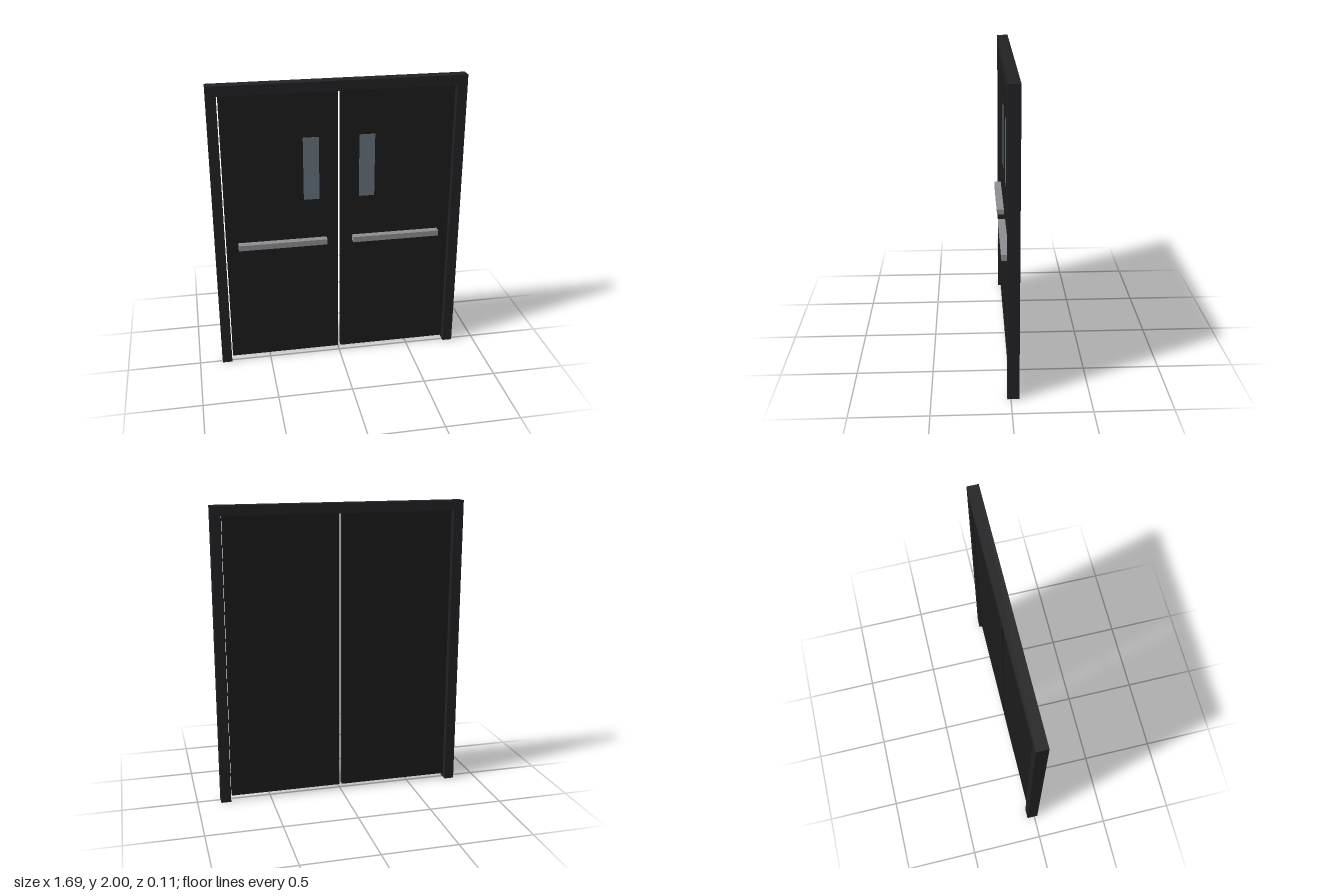
import * as THREE from 'three';

const paint = (color) => new THREE.MeshStandardMaterial({ color });

// Box given by its lower and upper limits on each axis
function block(name, material, [x0, x1], [y0, y1], [z0, z1]) {
  const mesh = new THREE.Mesh(new THREE.BoxGeometry(x1 - x0, y1 - y0, z1 - z0), material);
  mesh.name = name;
  mesh.position.set((x0 + x1) / 2, (y0 + y1) / 2, (z0 + z1) / 2);
  return mesh;
}

export function createModel() {
  const group = new THREE.Group();
  group.name = 'doubleDoor';
  const framePaint = paint(0x232325);
  const doorPaint = paint(0x1c1c1c);
  const glassPaint = paint(0x66757d);
  const barPaint = paint(0x909094);

  // Door frame: two jambs and a header in one piece, open at the floor
  const w = 0.843, inner = 0.776, header = 1.934, back = -0.053, front = 0.023;
  const outline = new THREE.Shape([
    [-w, 0], [-inner, 0], [-inner, header], [inner, header],
    [inner, 0], [w, 0], [w, 2], [-w, 2],
  ].map(([x, y]) => new THREE.Vector2(x, y)));
  const frame = new THREE.Mesh(
    new THREE.ExtrudeGeometry(outline, { depth: front - back, bevelEnabled: false }),
    framePaint
  );
  frame.name = 'frame';
  frame.position.z = back;
  group.add(frame);

  // Mirrored leaves, each with a narrow window and a push bar on the front
  const doorFront = 0.005;
  for (const [side, s] of [['left', 1], ['right', -1]]) {
    const span = (a, b) => (s > 0 ? [a, b] : [-b, -a]);
    const leaf = new THREE.Group();
    leaf.name = side + 'Leaf';
    leaf.add(
      block(side + 'Door', doorPaint, span(0.009, 0.767), [0.037, header], [-0.035, doorFront]),
      block(side + 'Window', glassPaint, span(0.134, 0.239), [1.2, 1.632], [doorFront - 0.01, doorFront + 0.002]),
      block(side + 'PushBar', barPaint, span(0.089, 0.688), [0.88, 0.918], [doorFront, 0.053])
    );
    group.add(leaf);
  }
  return group;
}
